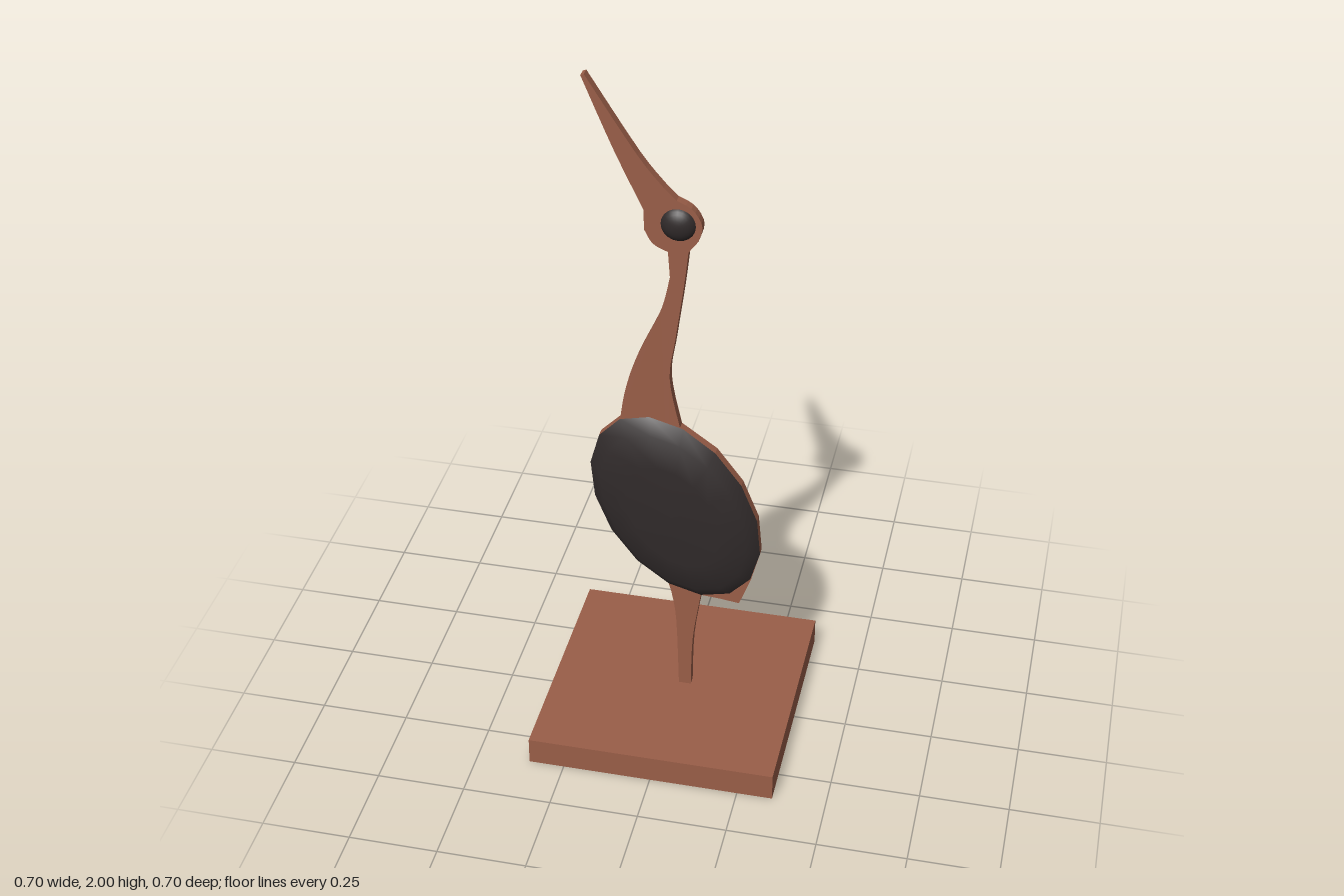
import * as THREE from 'three';

const TILT = THREE.MathUtils.degToRad(29.5);
const BODY = { x: 0, y: 0.707, short: 0.211, long: 0.315, sides: 16 };
const HALF = 0.013; // half thickness of the cut-out board

const wood = new THREE.MeshStandardMaterial({ color: 0x9a5e48 });
wood.name = 'reddish wood';
const dark = new THREE.MeshStandardMaterial({ color: 0x302a2a });
dark.name = 'dark wood';

// Corner k of the tilted oval, clockwise from its upper end
function ovalPoint(k) {
  const t = (k / BODY.sides) * Math.PI * 2;
  return new THREE.Vector2(Math.sin(t) * BODY.short, Math.cos(t) * BODY.long)
    .rotateAround(new THREE.Vector2(), TILT)
    .add(new THREE.Vector2(BODY.x, BODY.y));
}

const points = (list) => list.map(([x, y]) => new THREE.Vector2(x, y));
const smooth = (list, n) => new THREE.SplineCurve(points(list)).getPoints(n);

function add(group, name, geometry, material) {
  const mesh = new THREE.Mesh(geometry, material);
  mesh.name = name;
  group.add(mesh);
  return mesh;
}

// Whole bird silhouette, counter-clockwise from the foot
function birdOutline() {
  return [
    ...smooth([[0.045, 0.07], [0.05, 0.25], [0.073, 0.414]], 8),
    // tail
    ...points([[0.125, 0.41], [0.183, 0.403], [0.215, 0.49]]),
    // back
    ...[6, 5, 4, 3].map(ovalPoint),
    // back of the neck
    ...smooth([[0.012, 0.977], [-0.016, 1.13], [0, 1.26], [0.022, 1.42], [0.034, 1.525]], 20),
    // back of the head
    ...smooth([[0.06, 1.56], [0.07, 1.605], [0.045, 1.65], [0.003, 1.672]], 10),
    // beak
    ...smooth([[-0.03, 1.705], [-0.098, 1.79], [-0.232, 2]], 8),
    ...smooth([[-0.241, 1.996], [-0.16, 1.8], [-0.083, 1.635]], 8),
    // throat
    ...smooth([[-0.083, 1.58], [-0.06, 1.54], [-0.02, 1.52]], 8),
    // front of the neck
    ...smooth([[-0.015, 1.445], [-0.04, 1.34], [-0.105, 1.19], [-0.138, 1.08], [-0.154, 0.981]], 20),
    // breast and belly
    ...[15, 14, 13, 12, 11, 10].map(ovalPoint),
    // front of the leg
    ...smooth([[-0.012, 0.41], [0.002, 0.31], [0.01, 0.07]], 8),
  ];
}

export function createModel() {
  const group = new THREE.Group();
  group.name = 'wading bird on a stand';

  const base = add(group, 'base', new THREE.BoxGeometry(0.7, 0.08, 0.7), wood);
  base.position.y = 0.04;

  const board = new THREE.ExtrudeGeometry(new THREE.Shape(birdOutline()), {
    depth: HALF * 2,
    bevelEnabled: false,
  });
  add(group, 'birdBoard', board.translate(0, 0, -HALF), wood);

  // Domed wing and bulging eye on each face of the board
  const wingProfile = points([[1, HALF], [0.86, 0.044], [0.55, 0.061], [0, 0.063]]);
  for (const [side, s] of [['front', 1], ['back', -1]]) {
    const wing = new THREE.LatheGeometry(wingProfile, BODY.sides)
      .rotateX((s * Math.PI) / 2)
      .scale(BODY.short, BODY.long, 1)
      .rotateZ(TILT)
      .translate(BODY.x, BODY.y, 0);
    add(group, side + 'Wing', wing, dark);

    const eye = new THREE.SphereGeometry(0.05, 20, 8, 0, Math.PI * 2, 0, Math.PI / 2)
      .rotateX((s * Math.PI) / 2)
      .scale(1, 1, 0.68)
      .translate(0.007, 1.602, 0);
    add(group, side + 'Eye', eye, dark);
  }

  return group;
}
